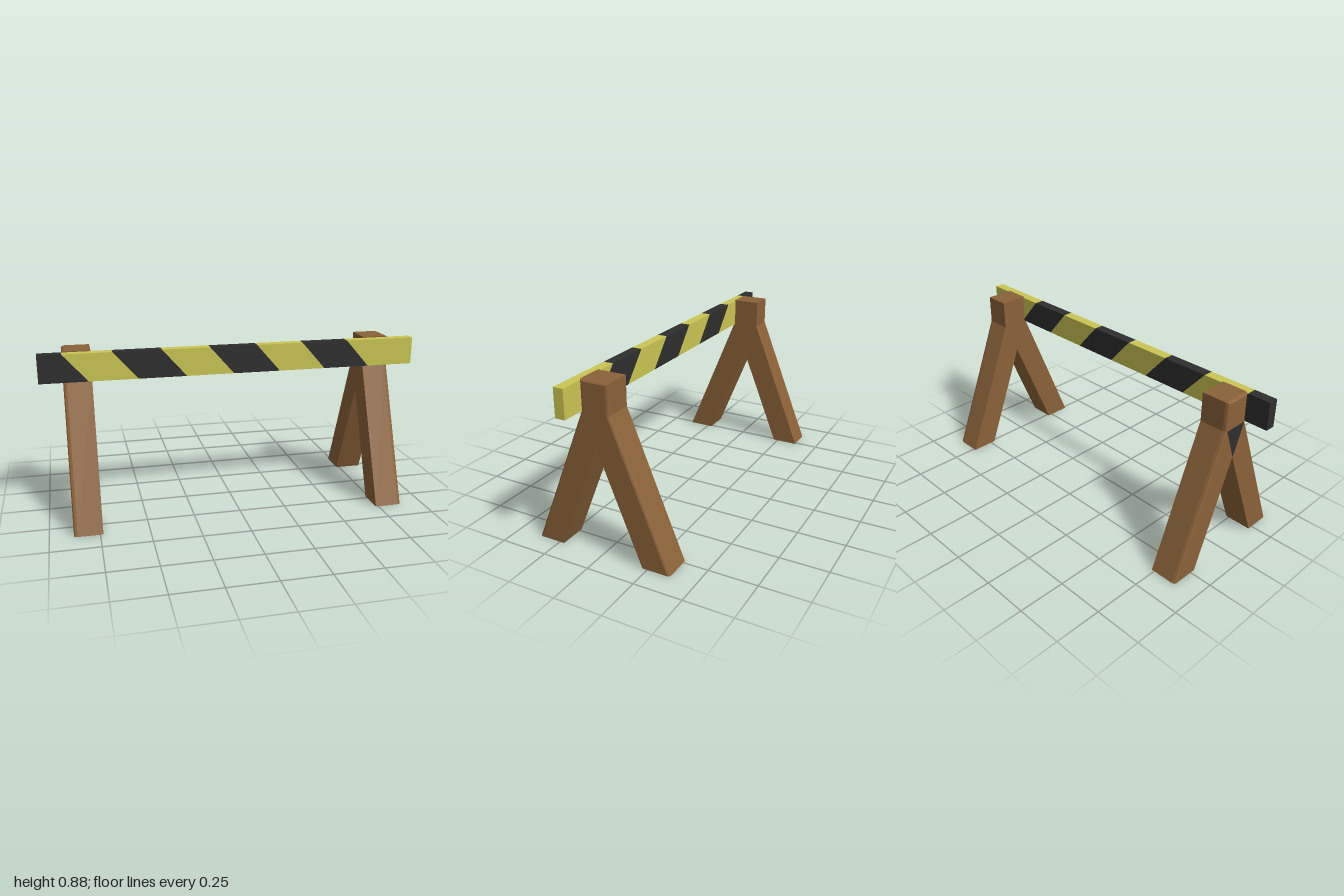
import * as THREE from 'three';

const wood = new THREE.MeshStandardMaterial({ color: 0x8b6239, flatShading: true });
const yellow = new THREE.MeshStandardMaterial({ color: 0xcac653, flatShading: true });
const black = new THREE.MeshStandardMaterial({ color: 0x2e2e2e, flatShading: true });

const shapeOf = (points) => new THREE.Shape(points.map(([x, y]) => new THREE.Vector2(x, y)));

// A-shaped trestle, extruded along x; its outer rim is softened toward the outside face
function trestleGeometry() {
  const outline = shapeOf([
    [-0.37, 0], [-0.225, 0], [0, 0.56], [0.225, 0], [0.37, 0],
    [0.075, 0.73], [0.075, 0.88], [-0.075, 0.88], [-0.075, 0.73],
  ]);
  const geometry = new THREE.ExtrudeGeometry(outline, { depth: 3, steps: 3, bevelEnabled: false });
  const layerX = [0.735, 0.862, 0.875, 0.88];
  const inset = [0, 0, 0.004, 0.012];
  const p = geometry.attributes.position;
  for (let i = 0; i < p.count; i++) {
    const layer = Math.round(p.getZ(i));
    const x = p.getX(i), y = p.getY(i);
    const onOuterRim = y > 0.7 || Math.abs(x) > 0.3;
    if (onOuterRim) p.setX(i, x - Math.sign(x) * inset[layer]);
    if (y > 0.8) p.setY(i, y - inset[layer] * 0.7);
    p.setZ(i, layerX[layer]);
  }
  geometry.rotateY(Math.PI / 2);
  geometry.computeVertexNormals();
  return geometry;
}

export function createModel() {
  const model = new THREE.Group();
  model.name = 'roadBarrier';

  // Two trestles, the right one turned half round
  const geometry = trestleGeometry();
  for (const [name, turn] of [['leftTrestle', 0], ['rightTrestle', Math.PI]]) {
    const trestle = new THREE.Mesh(geometry, wood);
    trestle.name = name;
    trestle.rotation.y = turn;
    model.add(trestle);
  }

  // Dark triangular patch on the outside of the right trestle
  const patch = new THREE.Mesh(
    new THREE.ShapeGeometry(shapeOf([[0, 0.56], [0.064, 0.73], [-0.064, 0.73]])), black);
  patch.name = 'darkPatch';
  patch.rotation.y = -Math.PI / 2;
  patch.position.x = -0.881;
  model.add(patch);

  // Striped crossbar, made of slanted blocks in alternating colours
  const crossbar = new THREE.Group();
  crossbar.name = 'crossbar';
  const bottom = 0.73, top = 0.875, slant = 0.127, count = 8;
  const cut = (k) => -0.88 + 0.25 * (k - 1);
  for (let k = 0; k < count; k++) {
    const first = k === 0, last = k === count - 1;
    const block = new THREE.Mesh(new THREE.ExtrudeGeometry(shapeOf([
      [first ? -1 : cut(k) + slant, bottom],
      [last ? 1 : cut(k + 1) + slant, bottom],
      [last ? 1 : cut(k + 1), top],
      [first ? -1 : cut(k), top],
    ]), { depth: 0.052, bevelEnabled: false }), k % 2 ? yellow : black);
    block.name = k % 2 ? 'yellowStripe' : 'blackStripe';
    block.position.z = 0.07;
    crossbar.add(block);
  }
  model.add(crossbar);
  return model;
}
